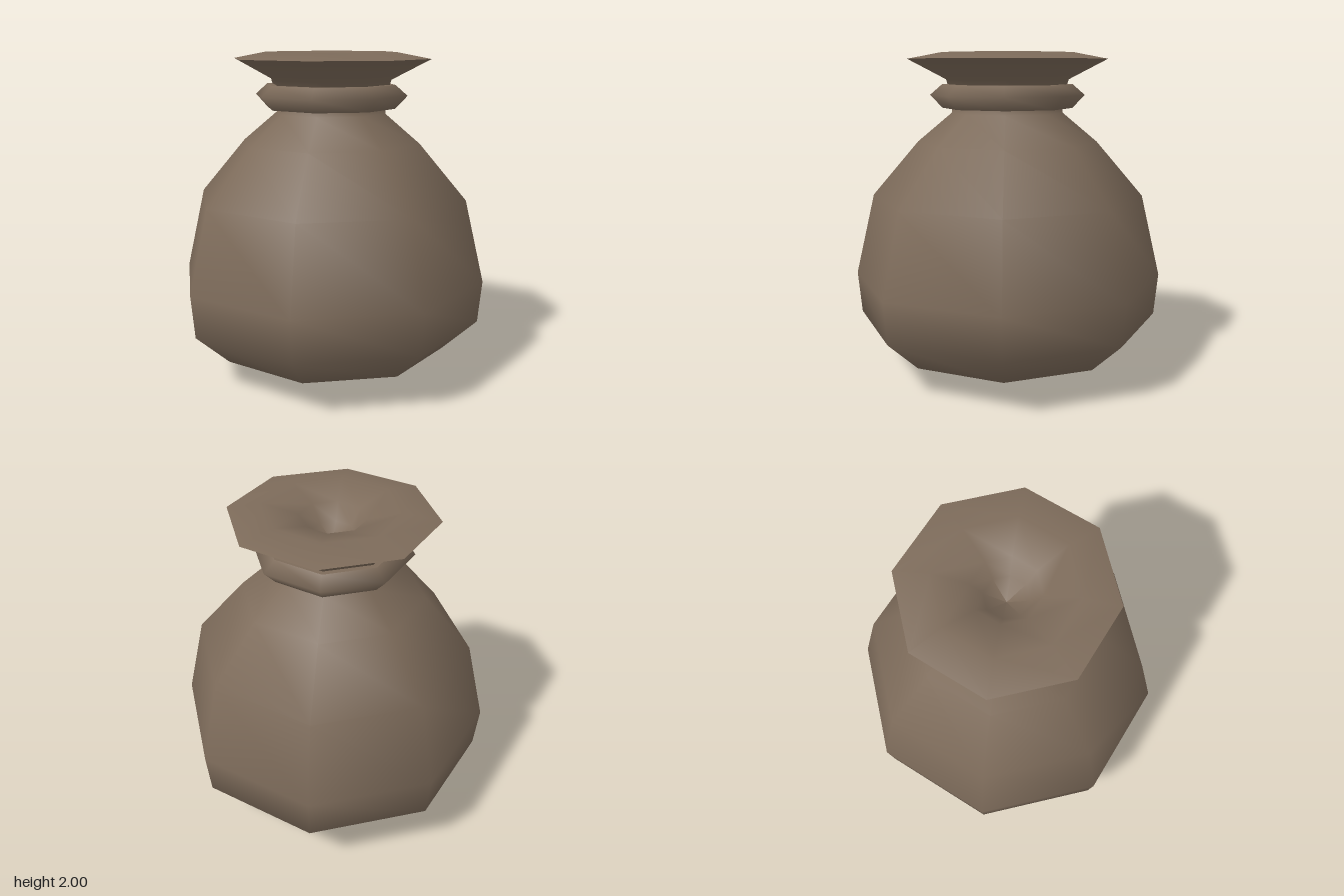
import * as THREE from 'three';

const SIDES = 8;

// Eight-sided smooth lathe; the profile runs bottom to top on the outside.
function lathe(name, profile, material) {
  const points = profile.map(([r, y]) => new THREE.Vector2(r, y));
  const mesh = new THREE.Mesh(new THREE.LatheGeometry(points, SIDES), material);
  mesh.name = name;
  return mesh;
}

export function createModel() {
  const cloth = new THREE.MeshStandardMaterial({ color: 0x7d6b5a });
  cloth.name = 'brown cloth';

  const sack = new THREE.Group();
  sack.name = 'sack';

  // Bulging body, up to the gathered neck
  sack.add(lathe('body', [
    [0, 0], [0.38, 0.04], [0.73, 0.145], [0.945, 0.34], [0.97, 0.6],
    [0.85, 1.11], [0.56, 1.45], [0.345, 1.63], [0.345, 1.7],
  ], cloth));

  // Tie around the neck: rounded band with flat top and bottom
  const tie = new THREE.Group();
  tie.name = 'neckTie';
  tie.add(
    lathe('tieUnderside', [[0.3, 1.66], [0.405, 1.66]], cloth),
    lathe('tieBand', [[0.405, 1.66], [0.48, 1.74], [0.405, 1.805]], cloth),
    lathe('tieTop', [[0.405, 1.805], [0.3, 1.805]], cloth),
  );
  sack.add(tie);

  // Flared mouth above the tie
  sack.add(lathe('mouthFlare', [[0.345, 1.72], [0.38, 1.835], [0.62, 1.96]], cloth));

  // Rolled top with a sunken, closed centre
  sack.add(lathe('mouthTop', [
    [0.62, 1.96], [0.41, 2], [0.2, 1.945], [0.13, 1.85], [0, 1.78],
  ], cloth));

  return sack;
}
